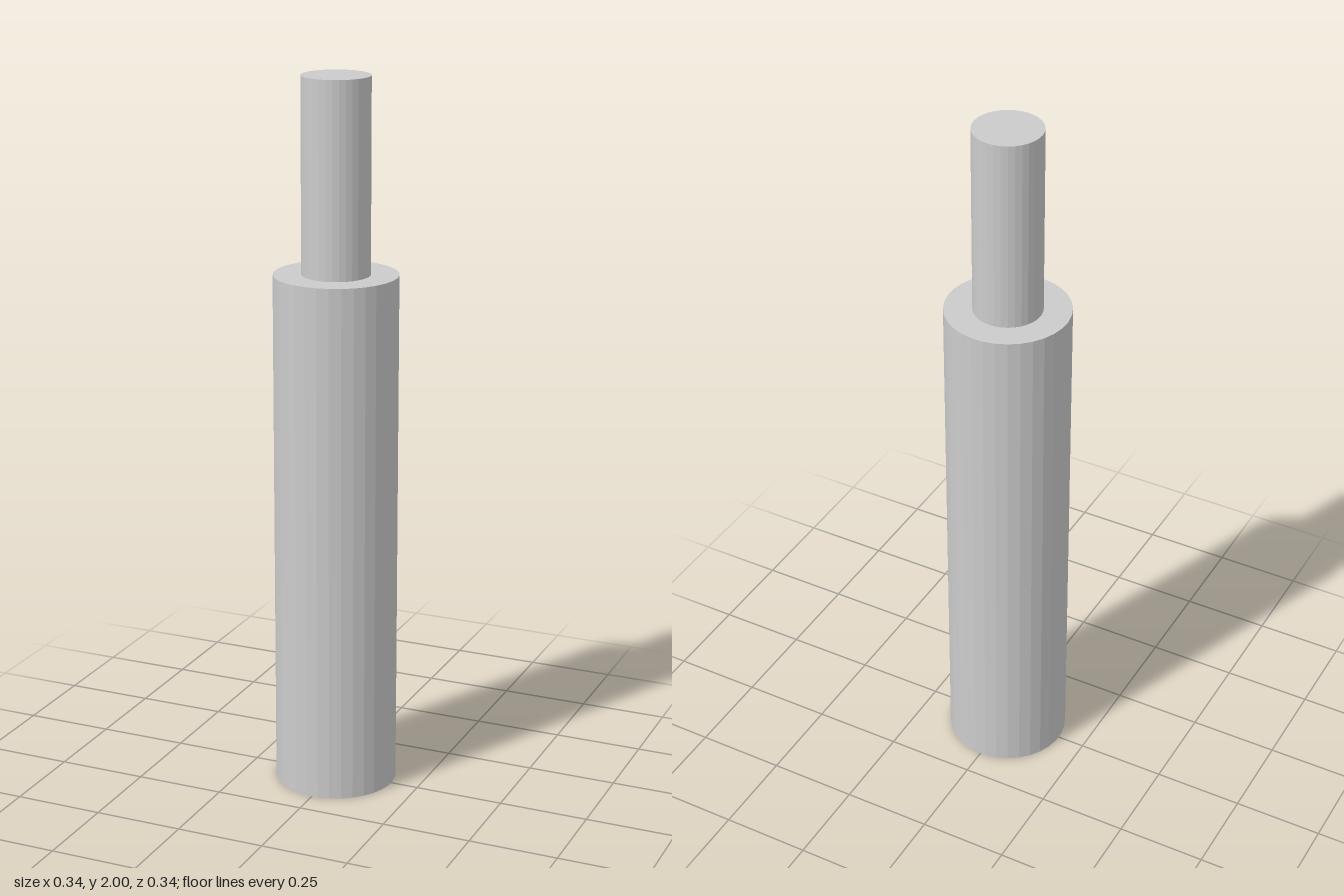
import * as THREE from 'three';

export function createModel() {
  const group = new THREE.Group();
  const material = new THREE.MeshStandardMaterial({ color: 0xcccccc, flatShading: true });
  const sides = 32;
  const bodyR = 0.171, pegR = 0.094, shoulderY = 1.465, topY = 2;
  const socketDepth = topY - shoulderY; // socket matches the peg

  // Turn a profile around the y axis, flats facing the axes
  const turned = (name, profile) => {
    const points = profile.map(([r, y]) => new THREE.Vector2(r, y));
    const mesh = new THREE.Mesh(new THREE.LatheGeometry(points, sides, Math.PI / sides), material);
    mesh.name = name;
    group.add(mesh);
  };

  // Body: socket ceiling, socket wall, bottom rim, outer wall, shoulder
  turned('body', [
    [0, socketDepth], [pegR, socketDepth], [pegR, 0],
    [bodyR, 0], [bodyR, shoulderY], [pegR, shoulderY],
  ]);

  // Peg: wall and top cap
  turned('peg', [[pegR, shoulderY], [pegR, topY], [0, topY]]);

  return group;
}
